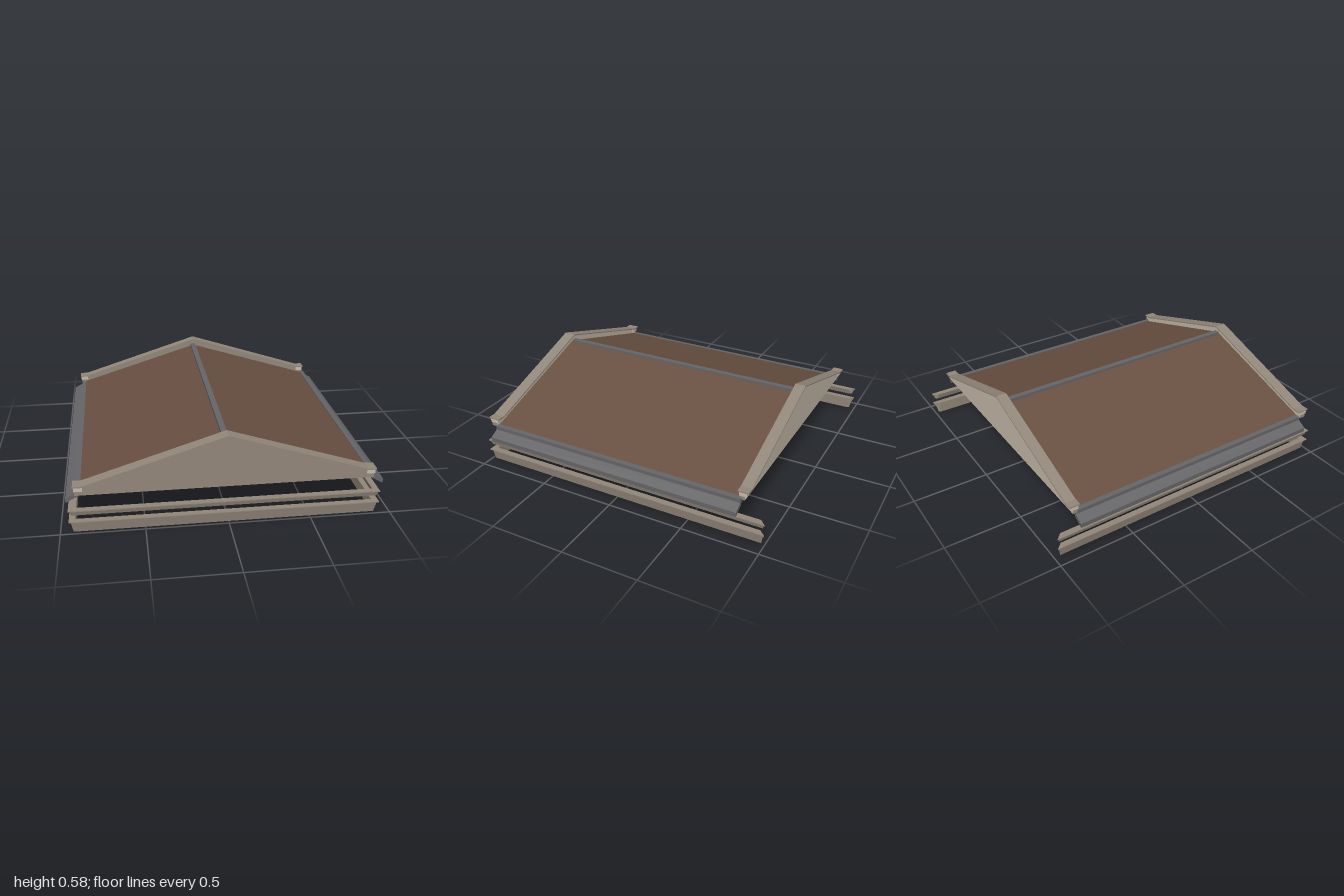
import * as THREE from 'three';

function paint(name, color) {
  const material = new THREE.MeshStandardMaterial({ color });
  material.name = name;
  return material;
}
const trim = paint('stone trim', 0x92877a);
const cream = paint('pale stone', 0xc7baaa);
const metal = paint('grey metal', 0x656567);
const roofBrown = paint('roof brown', 0x684f41);

const CX = -0.01; // ridge line

// Extrude an x-y outline between two z positions
function prism(name, pts, z0, z1, material) {
  const shape = new THREE.Shape(pts.map(([x, y]) => new THREE.Vector2(x, y)));
  const geo = new THREE.ExtrudeGeometry(shape, { depth: z1 - z0, bevelEnabled: false });
  geo.translate(0, 0, z0);
  const mesh = new THREE.Mesh(geo, material);
  mesh.name = name;
  return mesh;
}

// Moulding swept round the left, front and right sides with mitred corners
function moulding(name, profile) {
  const rings = [
    (d, y) => [CX - d, y, -d - 0.047],
    (d, y) => [CX - d, y, d + 0.063],
    (d, y) => [CX + d, y, d + 0.063],
    (d, y) => [CX + d, y, -d - 0.063],
  ].map((place) => profile.map(([d, y]) => place(d, y)));
  const pos = [];
  const tri = (a, b, c) => pos.push(...a, ...b, ...c);
  const n = profile.length;
  for (let i = 0; i < 3; i++) {
    for (let j = 0; j < n; j++) {
      const k = (j + 1) % n;
      tri(rings[i][j], rings[i + 1][j], rings[i + 1][k]);
      tri(rings[i][j], rings[i + 1][k], rings[i][k]);
    }
  }
  for (let j = 1; j < n - 1; j++) {
    tri(rings[0][0], rings[0][j], rings[0][j + 1]);
    tri(rings[3][0], rings[3][j + 1], rings[3][j]);
  }
  const geo = new THREE.BufferGeometry();
  geo.setAttribute('position', new THREE.Float32BufferAttribute(pos, 3));
  geo.computeVertexNormals();
  const mesh = new THREE.Mesh(geo, trim);
  mesh.name = name;
  return mesh;
}

// Mirror a half outline about the ridge into a closed one
const mirrored = (half) => [
  ...half.map(([x, y]) => [CX + x, y]),
  ...half.slice().reverse().filter(([x]) => x > 0).map(([x, y]) => [CX - x, y]),
];

function gable(name, z0, z1) {
  const g = new THREE.Group();
  g.name = name;
  // wall with square shoulders, pale on its rear face
  const outline = (bottom) => mirrored([[0.893, bottom], [0.893, 0.303], [0.842, 0.303], [0, 0.573]]);
  g.add(prism('gableWall', outline(0.247), z0 + 0.026, z1 - 0.012, trim));
  g.add(prism('paleRearFace', outline(0.258), z0 + 0.02, z0 + 0.026, cream));
  // coping strip: flat at the ends, then up to the peak
  const top = mirrored([[0.902, 0.31], [0.85, 0.31], [0, 0.58]]);
  const under = mirrored([[0.902, 0.302], [0.849, 0.302], [0, 0.572]]).reverse();
  g.add(prism('coping', [...top, ...under], z0, z1, trim));
  // pale blocks under the coping ends
  for (const s of [-1, 1]) {
    const block = [[0.845, 0.274], [0.897, 0.274], [0.897, 0.302], [0.845, 0.302]];
    g.add(prism('endBlock', block.map(([x, y]) => [CX + s * x, y]), z0 + 0.012, z1 - 0.008, cream));
  }
  return g;
}

export function createModel() {
  const model = new THREE.Group();
  model.name = 'gableRoof';

  // Cornice bands, open at the back
  model.add(moulding('lowerCornice', [
    [0.9, 0], [0.913, 0], [0.926, 0.07], [0.937, 0.073], [0.937, 0.078], [0.898, 0.078],
  ]));
  model.add(moulding('upperCornice', [
    [0.908, 0.115], [0.921, 0.115], [0.929, 0.143], [0.937, 0.146], [0.937, 0.152], [0.898, 0.152],
  ]));

  // Gables
  model.add(gable('frontGable', 0.92, 1.0));
  model.add(gable('backGable', -0.88, -0.81));

  for (const s of [-1, 1]) {
    const side = s > 0 ? 'left' : 'right';
    const at = (pts) => pts.map(([x, y]) => [s * x, y]);

    // Roof slope
    model.add(prism(side + 'RoofSlope', [
      [CX, 0.529], [CX + s * 0.89, 0.253], [CX + s * 0.89, 0.247], [CX, 0.523],
    ], -0.83, 0.94, roofBrown));

    // Eave trim and gutter
    model.add(prism(side + 'EaveTrim', at([
      [0.87, 0.226], [0.902, 0.226], [0.902, 0.26], [0.87, 0.262],
    ]), -0.835, 0.94, metal));
    model.add(prism(side + 'Gutter', at([
      [0.89, 0.212], [0.905, 0.206], [0.96, 0.175], [0.96, 0.205], [0.9, 0.237], [0.89, 0.237],
    ]), -0.835, 0.94, metal));
  }

  // Ridge bar
  const ridge = new THREE.Mesh(new THREE.BoxGeometry(0.036, 0.022, 1.75), metal);
  ridge.name = 'ridgeBar';
  ridge.position.set(CX - 0.005, 0.53, 0.055);
  model.add(ridge);

  return model;
}
